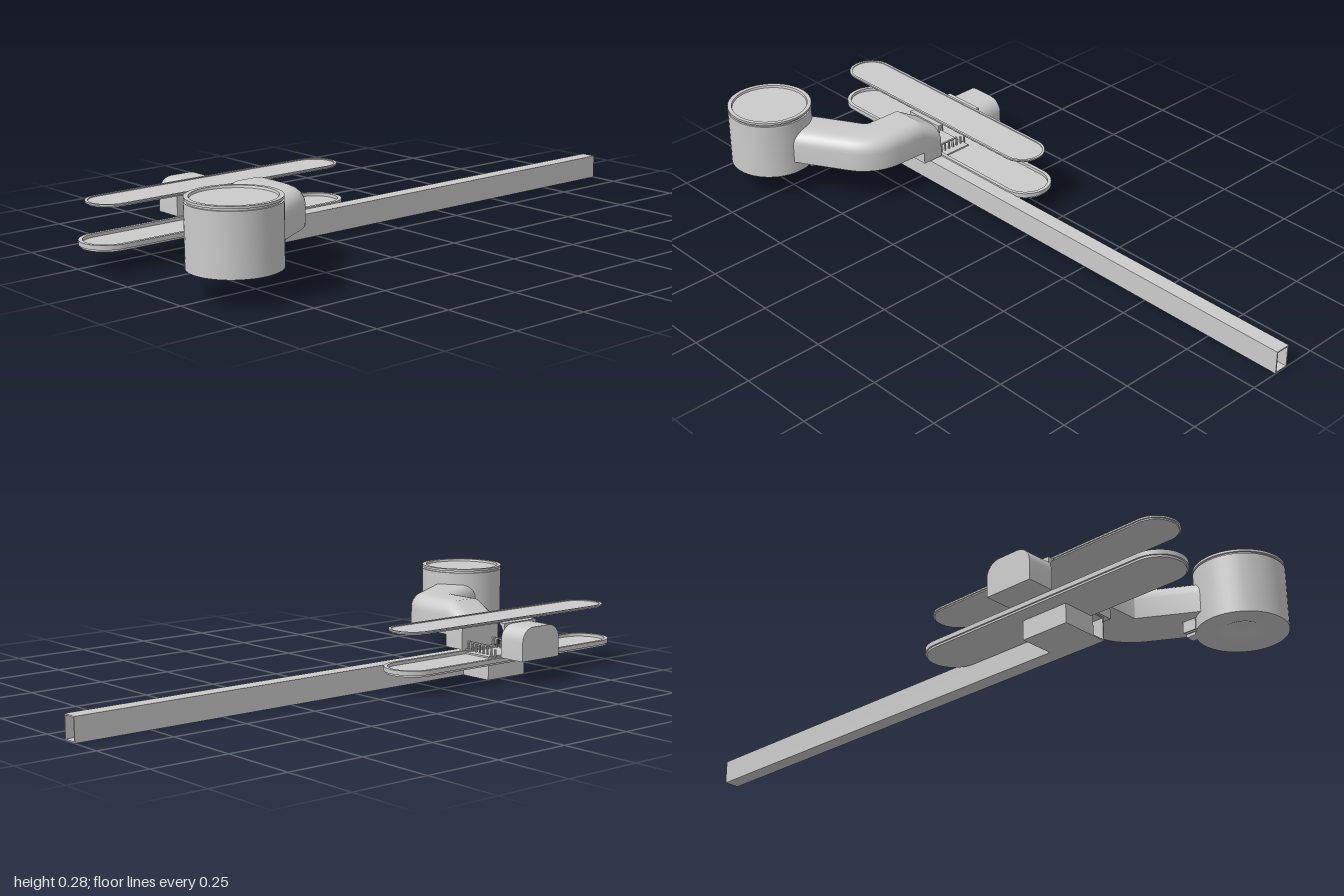
import * as THREE from 'three';
import { toCreasedNormals, mergeVertices } from 'three/addons/utils/BufferGeometryUtils.js';

const material = new THREE.MeshStandardMaterial({ color: 0xcccccc, side: THREE.DoubleSide });
const DUCT_X = -0.53;

export function createModel() {
  const model = new THREE.Group();
  const add = (name, geometry, x = 0, y = 0, z = 0) => {
    const mesh = new THREE.Mesh(geometry, material);
    mesh.name = name;
    mesh.position.set(x, y, z);
    model.add(mesh);
    return mesh;
  };
  const box = (name, x0, x1, y0, y1, z0, z1) =>
    add(name, new THREE.BoxGeometry(x1 - x0, y1 - y0, z1 - z0), (x0 + x1) / 2, (y0 + y1) / 2, (z0 + z1) / 2);

  // Long hollow beam, open at its far end, with a block at the near end
  const tube = rectangle(0.05, 0.075);
  tube.holes.push(rectangle(0.042, 0.067));
  const beam = new THREE.ExtrudeGeometry(tube, { depth: 1.61, bevelEnabled: false });
  add('beam', beam.rotateY(Math.PI / 2), -0.61, 0.0375, -0.118);
  box('beamEndBlock', -0.61, -0.45, 0, 0.075, -0.255, -0.142);

  // Lower tray: inset floor with a raised rim
  add('lowerPlate', plate(0.46, 0.08, 0.01), DUCT_X, 0.06, -0.226);
  add('lowerPlateRim', plate(0.465, 0.085, 0.014, 0.012), DUCT_X, 0.066, -0.226);

  // Upper plate with a thin lip
  add('upperPlate', plate(0.44, 0.068, 0.006), DUCT_X, 0.186, -0.22);
  add('upperPlateRim', plate(0.445, 0.072, 0.005, 0.008), DUCT_X, 0.19, -0.22);

  // Bent duct: sloped mouth, step in the underside, 60 degree turn into the tank
  const pivot = [-0.615, 0.045];
  const turn = [0, 1, 2, 3, 4, 5, 6].map(i => {
    const a = (i / 6) * Math.PI / 3;
    return [pivot[0] + 0.083 * Math.cos(a), pivot[1] + 0.083 * Math.sin(a), a, 0.12, 0.225];
  });
  const [ex, ez, ea] = turn[6];
  add('duct', sweep([
    [DUCT_X, -0.135, 0, 0.08, 0.182],
    [DUCT_X, -0.062, 0, 0.08, 0.225],
    [DUCT_X, -0.0615, 0, 0.12, 0.225],
    ...turn,
    [ex - 0.2 * Math.sin(ea), ez + 0.2 * Math.cos(ea), ea, 0.12, 0.225],
  ]));
  add('rearDuct', sweep([
    [DUCT_X, -0.402, 0, 0.08, 0.185],
    [DUCT_X, -0.31, 0, 0.08, 0.185],
  ]));

  // Curved brackets joining both duct ends to the upper plate
  for (const [z, side] of [[-0.133, -1], [-0.312, 1]]) {
    const s = new THREE.Shape();
    s.moveTo(0, 0.13);
    s.quadraticCurveTo(side * 0.004, 0.178, side * 0.026, 0.188);
    s.lineTo(0, 0.188);
    s.closePath();
    const g = new THREE.ExtrudeGeometry(s, { depth: 0.14, bevelEnabled: false });
    // shape x becomes world z
    add('plateBracket', g.rotateY(-Math.PI / 2), -0.46, 0, z);
  }

  // Small slatted rail standing on the lower tray
  for (const x of [-0.585, -0.475]) {
    box('railTop', x - 0.003, x + 0.003, 0.102, 0.106, -0.225, -0.137);
    for (let i = 0; i < 8; i++) {
      const z = -0.14 - i * 0.017;
      box('railPost', x - 0.003, x + 0.003, 0.07, i < 6 ? 0.104 : 0.124 - i * 0.004, z - 0.002, z + 0.002);
    }
  }

  // Round tank with grooved rim, recessed lid and dished underside
  const profile = [
    [0, 0.1], [0.03, 0.1], [0.045, 0.092], [0.06, 0.085], [0.085, 0.08], [0.135, 0.08],
    [0.135, 0.265], [0.129, 0.265], [0.129, 0.271], [0.135, 0.271], [0.135, 0.278],
    [0.122, 0.278], [0.12, 0.271], [0, 0.271],
  ].map(p => new THREE.Vector2(...p));
  add('tank', creased(new THREE.LatheGeometry(profile, 48)), -0.83, 0, 0.266);

  // Small ribbed bracket below the duct, against the tank
  box('tankBracket', -0.74, -0.69, 0.08, 0.12, 0.185, 0.215);
  for (const z of [0.163, 0.173]) box('tankBracketRib', -0.74, -0.695, 0.085, 0.12, z, z + 0.004);

  return model;
}

function creased(geometry) {
  return toCreasedNormals(geometry, 0.5);
}

function rectangle(w, h) {
  return new THREE.Shape([[-w, -h], [w, -h], [w, h], [-w, h]].map(([x, y]) => new THREE.Vector2(x / 2, y / 2)));
}

// Flat outline with round ends
function stadium(halfLength, r) {
  const s = new THREE.Shape();
  const c = halfLength - r;
  s.absarc(c, 0, r, -Math.PI / 2, Math.PI / 2);
  s.absarc(-c, 0, r, Math.PI / 2, Math.PI * 1.5);
  s.closePath();
  return s;
}

// Horizontal round-ended plate, or only its border when rim is given
function plate(halfLength, r, height, rim = 0) {
  const s = stadium(halfLength, r);
  if (rim) s.holes.push(stadium(halfLength - rim, r - rim));
  const g = new THREE.ExtrudeGeometry(s, { depth: height, bevelEnabled: false, curveSegments: 16 });
  return creased(g.rotateX(-Math.PI / 2));
}

// Duct skin through stations [x, z, turn, bottom, top]; flat base, rounded shoulders
function sweep(stations) {
  const half = 0.08, r = 0.045, steps = 6;
  const position = [], index = [];
  let n = 0;
  for (const [cx, cz, a, y0, y1] of stations) {
    const ring = [[-half, y0], [half, y0]];
    for (let k = 0; k < 2; k++) {
      for (let i = 0; i <= steps; i++) {
        const t = (k + i / steps) * Math.PI / 2;
        ring.push([(k ? -1 : 1) * (half - r) + r * Math.cos(t), y1 - r + r * Math.sin(t)]);
      }
    }
    n = ring.length;
    for (const [u, y] of ring) position.push(cx + u * Math.cos(a), y, cz + u * Math.sin(a));
  }
  const last = (stations.length - 1) * n;
  for (let s = 0; s < last; s += n) {
    for (let j = 0; j < n; j++) {
      const k = (j + 1) % n;
      index.push(s + j, s + k, s + n + j, s + k, s + n + k, s + n + j);
    }
  }
  for (let j = 1; j < n - 1; j++) index.push(0, j + 1, j, last, last + j, last + j + 1);
  const g = new THREE.BufferGeometry();
  g.setAttribute('position', new THREE.Float32BufferAttribute(position, 3));
  g.setIndex(index);
  return creased(mergeVertices(g));
}
